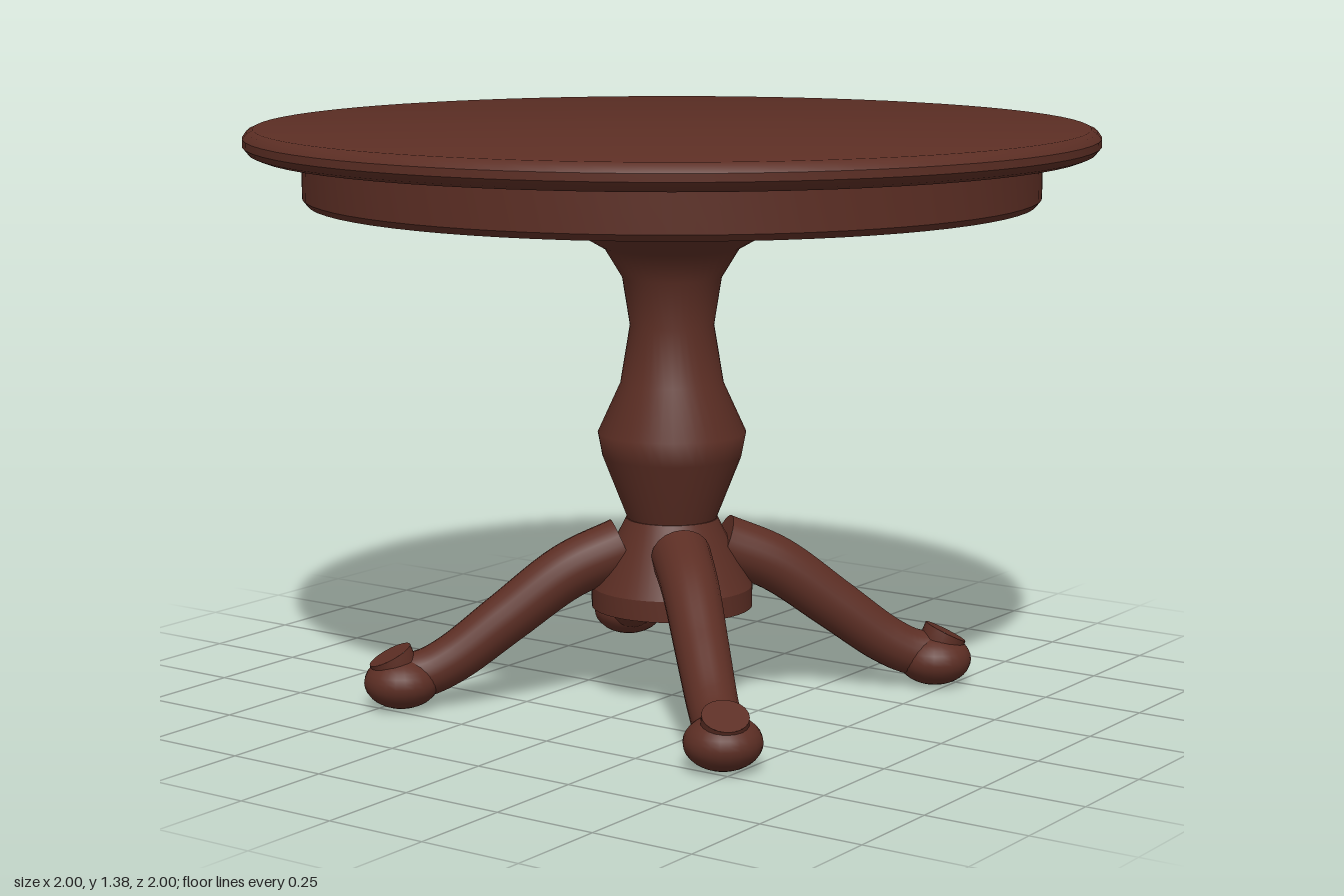
import * as THREE from 'three';
import { toCreasedNormals } from 'three/addons/utils/BufferGeometryUtils.js';

const wood = new THREE.MeshStandardMaterial({ color: 0x5c2e24 });
wood.name = 'mahogany wood';

function part(name, geometry) {
  const mesh = new THREE.Mesh(geometry, wood);
  mesh.name = name;
  return mesh;
}

// Turned part from [radius, height] pairs, listed from bottom to top
function turned(name, profile, segments, crease) {
  const points = profile.map(([r, y]) => new THREE.Vector2(r, y));
  const geometry = new THREE.LatheGeometry(points, segments);
  return part(name, crease ? toCreasedNormals(geometry, crease) : geometry);
}

// Flat disc closing a leg end
function endCap(name, center, direction, radius) {
  const cap = part(name, new THREE.CircleGeometry(radius, 20));
  cap.position.copy(center);
  cap.quaternion.setFromUnitVectors(new THREE.Vector3(0, 0, 1), direction);
  return cap;
}

// Curved leg along +x, tapering to an upturned toe on a flattened ball foot
function createLeg() {
  const leg = new THREE.Group();
  leg.name = 'leg';
  const path = new THREE.CatmullRomCurve3([
    [0.12, 0.372], [0.25, 0.318], [0.4, 0.21], [0.53, 0.115],
    [0.6, 0.082], [0.655, 0.08], [0.68, 0.13],
  ].map(([x, y]) => new THREE.Vector3(x, y, 0)));
  const rings = 32, sides = 20, startRadius = 0.071, endRadius = 0.054;

  const tube = new THREE.TubeGeometry(path, rings, startRadius, sides);
  const pos = tube.attributes.position;
  const v = new THREE.Vector3();
  for (let i = 0; i <= rings; i++) {
    const center = path.getPointAt(i / rings);
    const scale = THREE.MathUtils.lerp(1, endRadius / startRadius, i / rings);
    for (let j = 0; j <= sides; j++) {
      const k = i * (sides + 1) + j;
      v.fromBufferAttribute(pos, k).sub(center).multiplyScalar(scale).add(center);
      pos.setXYZ(k, v.x, v.y, v.z);
    }
  }
  leg.add(part('legShaft', tube));
  leg.add(endCap('legTopCap', path.getPointAt(0), path.getTangentAt(0).negate(), startRadius));
  leg.add(endCap('toeCap', path.getPointAt(1), path.getTangentAt(1), endRadius));

  const foot = part('foot', new THREE.SphereGeometry(1, 24, 16));
  foot.scale.set(0.09, 0.063, 0.09);
  foot.position.set(0.652, 0.063, 0);
  leg.add(foot);
  return leg;
}

export function createModel() {
  const table = new THREE.Group();
  table.name = 'roundPedestalTable';

  // Table top with a softened rim
  table.add(turned('tableTop', [
    [0, 1.315], [0.97, 1.315], [0.987, 1.322], [1, 1.338],
    [1, 1.356], [0.99, 1.37], [0.975, 1.377], [0, 1.377],
  ], 72, 0.6));

  // Apron under the top
  table.add(turned('apron', [
    [0, 1.2], [0.853, 1.2], [0.865, 1.215], [0.865, 1.316], [0, 1.316],
  ], 72, 0.5));

  // Turned column flaring out under the apron
  table.add(turned('column', [
    [0.107, 0.43], [0.107, 0.44], [0.166, 0.59], [0.177, 0.648], [0.123, 0.766],
    [0.1, 0.905], [0.118, 1.018], [0.16, 1.087], [0.36, 1.201],
  ], 40));

  // Hub that carries the legs
  table.add(turned('hub', [
    [0, 0.225], [0.193, 0.225], [0.193, 0.275], [0.11, 0.44], [0, 0.44],
  ], 40, 0.4));

  // Four legs on the diagonals
  for (let i = 0; i < 4; i++) {
    const leg = createLeg();
    leg.rotation.y = Math.PI / 4 + i * Math.PI / 2;
    table.add(leg);
  }
  return table;
}
